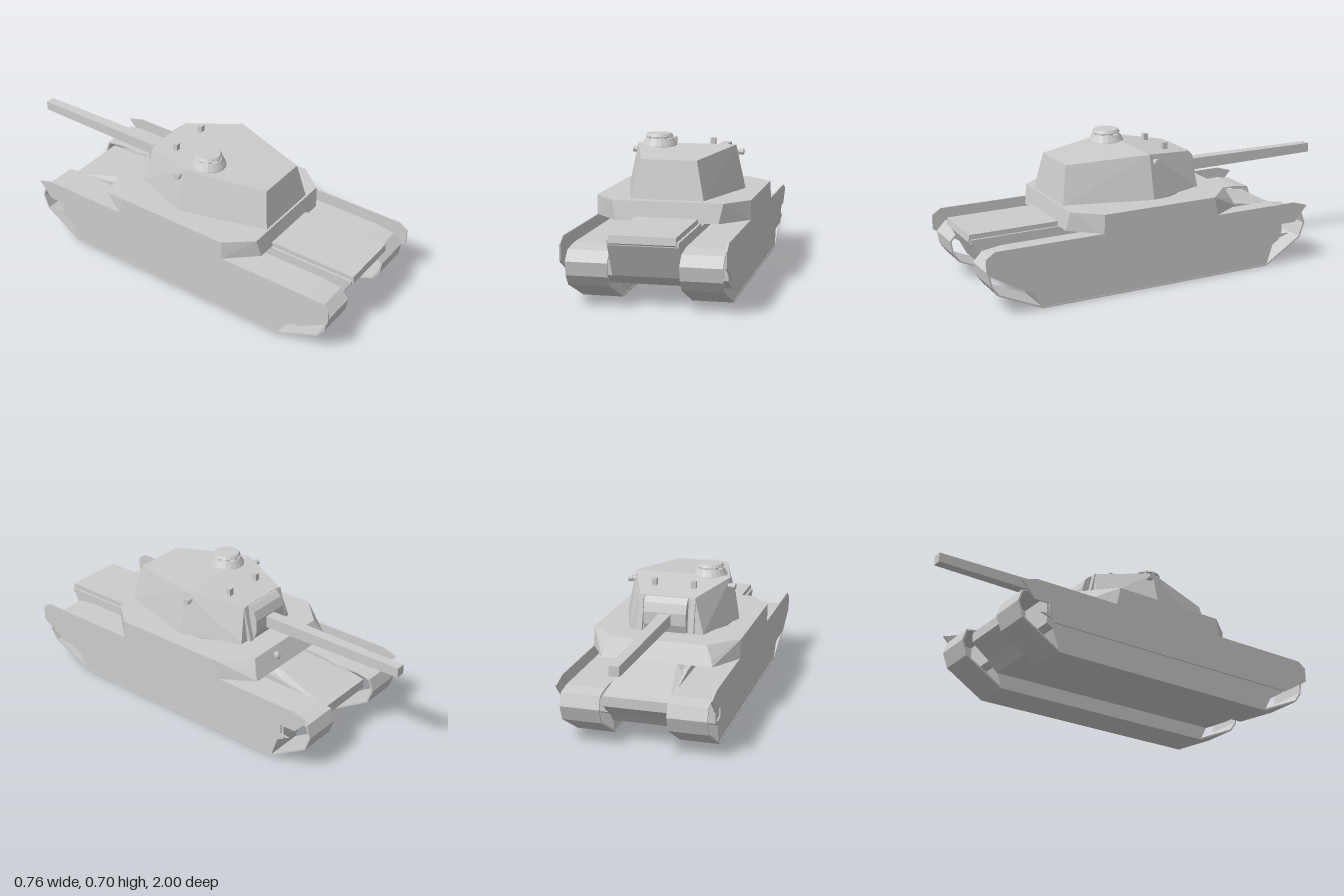
import * as THREE from 'three';
import { ConvexGeometry } from 'three/addons/geometries/ConvexGeometry.js';

const material = new THREE.MeshStandardMaterial({ color: 0xcccccc, flatShading: true, side: THREE.DoubleSide });

// Side profile given as [z, y] points, extruded across x from x0 to x1.
function sideExtrude(points, x0, x1, hole) {
  const toVectors = (list) => list.map(([z, y]) => new THREE.Vector2(z, y));
  const shape = new THREE.Shape(toVectors(points));
  if (hole) shape.holes.push(new THREE.Path(toVectors(hole)));
  const geometry = new THREE.ExtrudeGeometry(shape, { depth: x1 - x0, bevelEnabled: false });
  return geometry.rotateY(-Math.PI / 2).translate(x1, 0, 0);
}

// Convex armour block from [x, y, z] corners of one half, mirrored in x.
function armour(corners) {
  return new ConvexGeometry(corners.flatMap(([x, y, z]) =>
    [new THREE.Vector3(x, y, z), new THREE.Vector3(-x, y, z)]));
}

function box(w, h, d, x, y, z) {
  return new THREE.BoxGeometry(w, h, d).translate(x, y, z);
}

export function createModel() {
  const model = new THREE.Group();
  const add = (name, geometry, parent = model) => {
    const mesh = new THREE.Mesh(geometry, material);
    mesh.name = name;
    parent.add(mesh);
    return mesh;
  };

  // Hull between the tracks
  add('hull', sideExtrude([
    [-0.56, 0.075], [0.76, 0.075], [0.9, 0.143], [0.985, 0.305],
    [-0.38, 0.305], [-0.7, 0.25], [-0.7, 0.2], [-0.61, 0.13],
  ], -0.163, 0.163));
  add('glacisPlate', armour([
    [0.16, 0.29, -0.45], [0.1, 0.325, -0.36], [0.16, 0.29, -0.34], [0.1, 0.325, -0.34],
    [0.16, 0.25, -0.69],
  ]));
  add('engineDeck', sideExtrude([
    [0.5, 0.3], [0.985, 0.3], [1, 0.31], [0.995, 0.345], [0.5, 0.345],
  ], -0.152, 0.152));
  add('engineDeckRim', box(0.326, 0.022, 0.47, 0, 0.31, 0.755));

  // Superstructure spanning the tracks
  add('superstructure', armour([
    [0.25, 0.325, 0.547], [0.378, 0.325, 0.405], [0.378, 0.325, -0.22], [0.28, 0.325, -0.38],
    [0.27, 0.36, -0.362],
    [0.27, 0.419, 0.53], [0.378, 0.419, 0.4], [0.378, 0.419, -0.2], [0.24, 0.419, -0.335],
  ]));
  add('hullGunPort', new THREE.SphereGeometry(0.025, 10, 6).translate(0.09, 0.37, -0.345));

  // Track assemblies and side skirts
  const trackOuter = [
    [-0.53, 0], [0.72, 0], [0.94, 0.1], [0.975, 0.15], [0.985, 0.215],
    [0.94, 0.262], [0.84, 0.275], [-0.66, 0.275], [-0.735, 0.262], [-0.757, 0.2], [-0.73, 0.125],
  ];
  const trackInner = [
    [-0.527, 0.008], [0.718, 0.008], [0.934, 0.106], [0.967, 0.153], [0.976, 0.212],
    [0.936, 0.254], [0.84, 0.267], [-0.658, 0.267], [-0.729, 0.255], [-0.748, 0.2], [-0.723, 0.13],
  ];
  const runningGear = [
    [-0.53, 0.004], [0.72, 0.004], [0.76, 0.075], [0.85, 0.13], [0.85, 0.27],
    [-0.6, 0.27], [-0.6, 0.13], [-0.565, 0.11],
  ];
  const skirt = [
    [-0.57, 0.13], [0.85, 0.13], [1, 0.22], [1, 0.295], [0.955, 0.325], [-0.67, 0.325],
    [-0.752, 0.3], [-0.68, 0.22], [-0.6, 0.22], [-0.6, 0.17], [-0.645, 0.165], [-0.58, 0.147],
  ];
  for (const [side, name] of [[1, 'left'], [-1, 'right']]) {
    const across = (points, a, b, hole) =>
      sideExtrude(points, Math.min(side * a, side * b), Math.max(side * a, side * b), hole);
    add(name + 'Track', across(trackOuter, 0.163, 0.357, trackInner));
    add(name + 'RunningGear', across(runningGear, 0.165, 0.355));
    add(name + 'Skirt', across(skirt, 0.371, 0.378));
  }

  // Turret with faceted sides and a ridged roof
  const turret = new THREE.Group();
  turret.name = 'turret';
  model.add(turret);
  const ring = new THREE.CylinderGeometry(1, 1, 0.02, 24);
  add('turretRing', ring.scale(0.27, 1, 0.235).translate(0, 0.422, 0.055), turret);
  add('turretBody', armour([
    [0.175, 0.427, 0.525], [0.298, 0.427, 0.095], [0.19, 0.427, -0.21],
    [0.135, 0.612, 0.49], [0.25, 0.643, 0.095], [0.14, 0.602, -0.185],
  ]), turret);

  // Gun and its rounded mantlet
  add('mantlet', sideExtrude([
    [-0.15, 0.43], [-0.225, 0.43], [-0.24, 0.47], [-0.238, 0.53], [-0.222, 0.575], [-0.195, 0.6], [-0.15, 0.6],
  ], -0.108, 0.108), turret);
  for (const side of [1, -1]) {
    add('cheekPlate', sideExtrude([
      [-0.15, 0.43], [-0.232, 0.43], [-0.19, 0.6], [-0.15, 0.6],
    ], side * 0.132 - 0.012, side * 0.132 + 0.012), turret);
  }
  const barrel = new THREE.CylinderGeometry(0.034, 0.043, 0.79, 4);
  barrel.rotateY(Math.PI / 4).rotateX(-Math.PI / 2).translate(0, 0.495, -0.605);
  add('gunBarrel', barrel, turret);

  // Commander's cupola
  const cupola = [
    [0.095, 0.622], [0.088, 0.642], [0.07, 0.673], [0.055, 0.675], [0.055, 0.683],
    [0.07, 0.684], [0.062, 0.697], [0, 0.697],
  ].map(([r, y]) => new THREE.Vector2(r, y));
  add('cupola', new THREE.LatheGeometry(cupola, 20).translate(-0.13, 0, 0.145), turret);
  for (let i = 0; i < 8; i++) {
    add('visionBlock', box(0.018, 0.012, 0.012, 0, 0.679, 0.058)
      .rotateY(i * Math.PI / 4).translate(-0.13, 0, 0.145), turret);
  }

  // Periscopes and side ports
  for (const side of [1, -1]) {
    add('periscope', box(0.025, 0.045, 0.025, side * 0.102, 0.632, -0.065), turret);
    const port = new THREE.Group();
    port.name = 'sidePort';
    port.position.set(side * 0.25, 0.605, 0.067);
    turret.add(port);
    add('portStem', new THREE.CylinderGeometry(0.012, 0.012, 0.05, 10).rotateZ(Math.PI / 2), port);
    add('portHead', new THREE.CylinderGeometry(0.016, 0.016, 0.023, 10)
      .rotateZ(Math.PI / 2).translate(side * 0.022, 0, 0), port);
  }
  return model;
}
